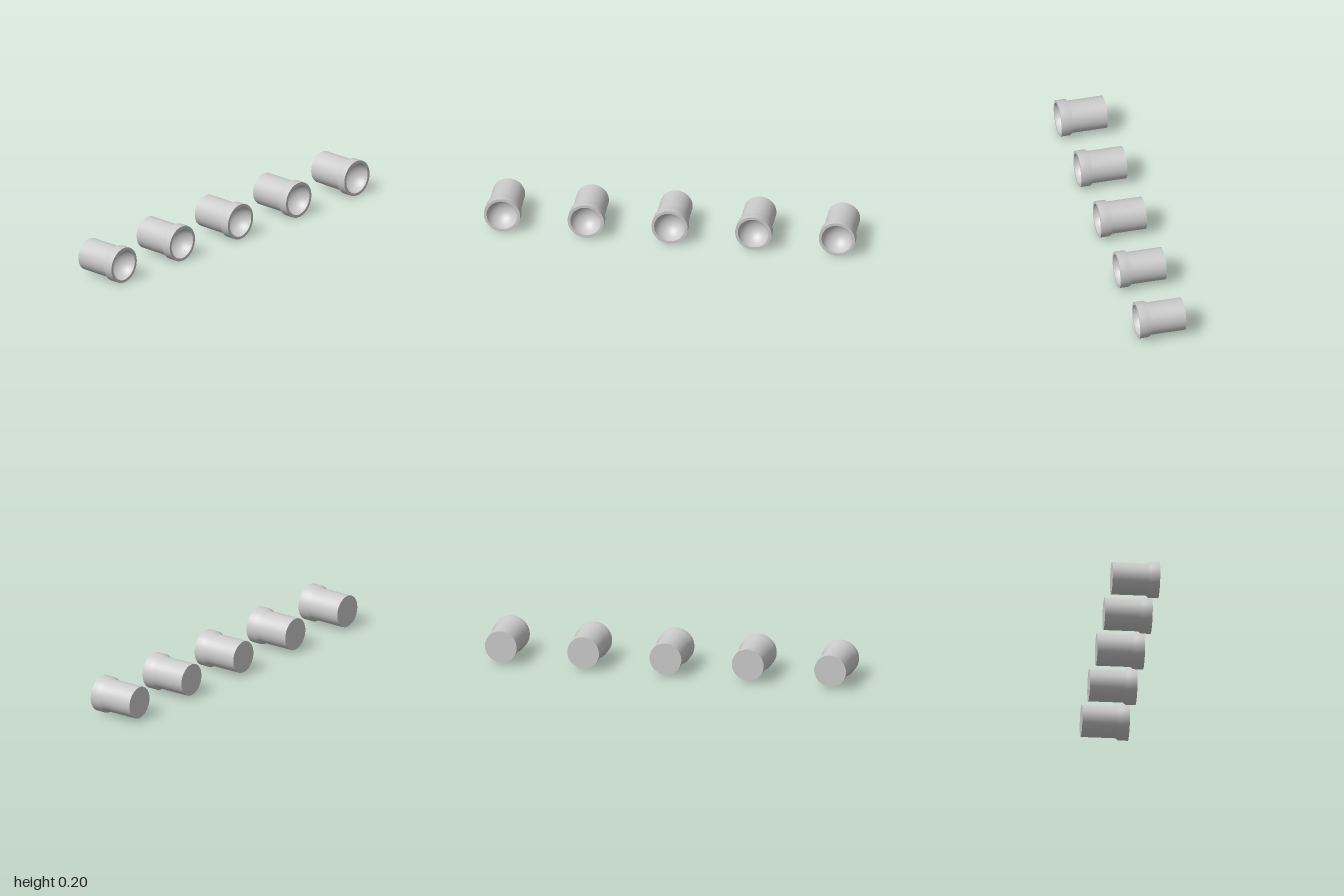
import * as THREE from 'three';

const material = new THREE.MeshStandardMaterial({ color: 0xcccccc, side: THREE.DoubleSide });
const BODY = 0.087, RIM = 0.098, BOWL = 0.083;
const BACK = -0.126, FRONT = 0.127, CENTRE_Y = 0.098;

// Revolve [radius, z] pairs around the z axis
function revolve(name, profile) {
  const geometry = new THREE.LatheGeometry(profile.map(([r, z]) => new THREE.Vector2(r, z)), 64);
  geometry.rotateX(Math.PI / 2);
  const mesh = new THREE.Mesh(geometry, material);
  mesh.name = name;
  return mesh;
}

// One cup-shaped lamp: closed at the back, hollow at the front
function createLamp() {
  const lamp = new THREE.Group();

  // Rounded bowl, from the rim inwards to the axis
  const bowl = [];
  const depth = 0.085, steps = 16;
  for (let i = 0; i <= steps; i++) {
    const a = (i / steps) * Math.PI / 2;
    bowl.push([BOWL * Math.cos(a), FRONT - depth * Math.sin(a)]);
  }

  lamp.add(
    revolve('backCap', [[0, BACK], [BODY, BACK]]),
    revolve('housing', [[BODY, BACK], [BODY, 0.06], [RIM, 0.075], [RIM, FRONT]]),
    revolve('frontRim', [[RIM, FRONT], [BOWL, FRONT]]),
    revolve('reflectorBowl', bowl)
  );
  return lamp;
}

export function createModel() {
  const model = new THREE.Group();
  model.name = 'lampRow';
  // Five lamps in an even row
  for (let i = -2; i <= 2; i++) {
    const lamp = createLamp();
    lamp.name = `lamp${i + 3}`;
    lamp.position.set(i * 0.451, CENTRE_Y, 0);
    model.add(lamp);
  }
  return model;
}
